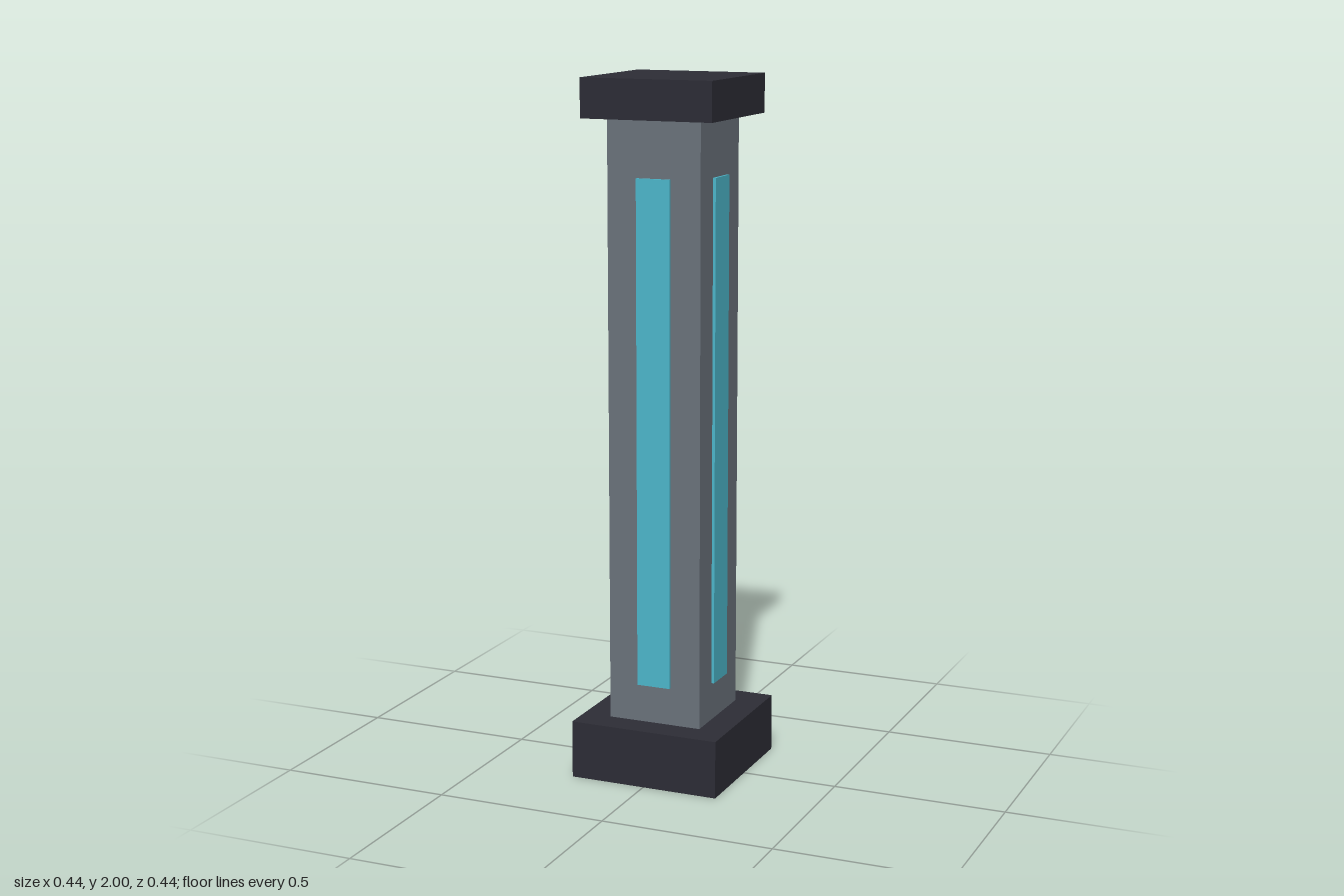
import * as THREE from 'three';

export function createModel() {
  const model = new THREE.Group();
  model.name = 'lightPillar';

  const material = (name, color) => {
    const m = new THREE.MeshStandardMaterial({ color });
    m.name = name;
    return m;
  };
  const dark = material('darkMetal', 0x2d2d36);
  const grey = material('greyMetal', 0x6b737c);
  const cyan = material('cyanGlow', 0x4db8cc);

  // Square block standing between two heights
  const block = (name, width, bottom, top, mat) => {
    const mesh = new THREE.Mesh(new THREE.BoxGeometry(width, top - bottom, width), mat);
    mesh.name = name;
    mesh.position.y = (bottom + top) / 2;
    model.add(mesh);
  };
  block('base', 0.444, 0, 0.167, dark);
  block('shaft', 0.278, 0.167, 1.889, grey);
  block('cap', 0.389, 1.889, 2, dark);

  // One raised light strip on each side of the shaft
  const stripGeometry = new THREE.BoxGeometry(0.1, 1.45, 0.009);
  ['front', 'left', 'back', 'right'].forEach((side, i) => {
    const angle = (i * Math.PI) / 2;
    const strip = new THREE.Mesh(stripGeometry, cyan);
    strip.name = side + 'LightStrip';
    strip.position.set(Math.sin(angle) * 0.1425, 1.002, Math.cos(angle) * 0.1425);
    strip.rotation.y = angle;
    model.add(strip);
  });

  return model;
}
